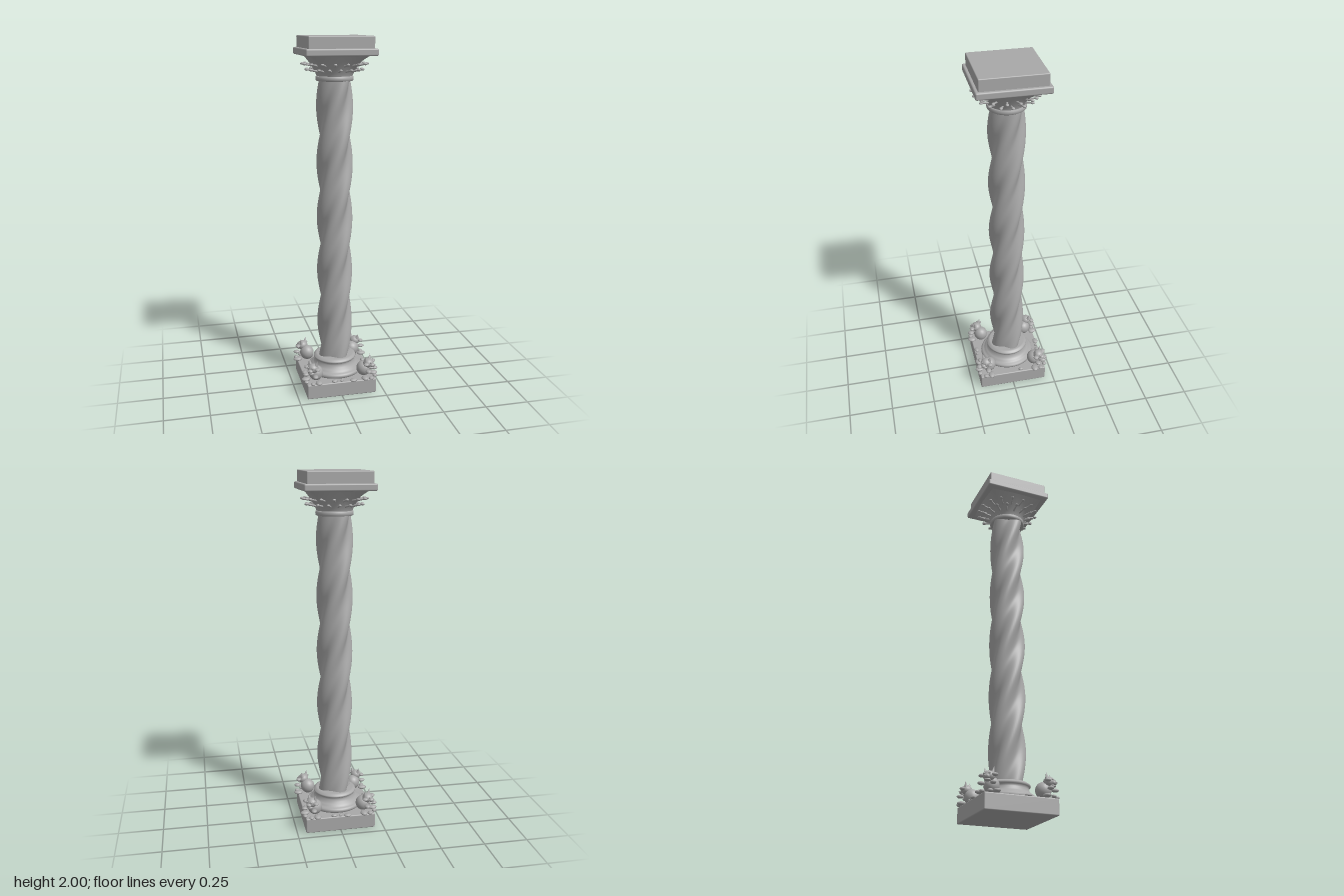
import * as THREE from 'three';
import { RoundedBoxGeometry } from 'three/addons/geometries/RoundedBoxGeometry.js';

const stone = new THREE.MeshStandardMaterial({ color: 0xa8a8a8 });
stone.name = 'grey stone';

function add(parent, name, geometry, x = 0, y = 0, z = 0) {
  const mesh = new THREE.Mesh(geometry, stone);
  mesh.name = name;
  mesh.position.set(x, y, z);
  parent.add(mesh);
  return mesh;
}

// Closed wall of stacked rings; radius(angle, t) with t running 0 to 1 upwards
function loft(y0, y1, rows, segs, radius) {
  const pos = [], idx = [];
  for (let j = 0; j <= rows; j++) {
    const t = j / rows, y = y0 + (y1 - y0) * t;
    for (let i = 0; i < segs; i++) {
      const a = (i / segs) * Math.PI * 2, r = radius(a, t, y);
      pos.push(Math.sin(a) * r, y, Math.cos(a) * r);
      if (j < rows) {
        const p = j * segs + i, q = j * segs + (i + 1) % segs;
        idx.push(p, q, q + segs, p, q + segs, p + segs);
      }
    }
  }
  const g = new THREE.BufferGeometry();
  g.setAttribute('position', new THREE.Float32BufferAttribute(pos, 3));
  g.setIndex(idx);
  g.computeVertexNormals();
  return g;
}

const lathe = (pts) =>
  new THREE.LatheGeometry(pts.map(([r, y]) => new THREE.Vector2(r, y)), 64);

// Irregular stone lump
function lump(parent, name, x, y, z, sx, sy, sz, turn = 0) {
  const m = add(parent, name, new THREE.IcosahedronGeometry(1, 1), x, y, z);
  m.scale.set(sx, sy, sz);
  m.rotation.y = turn;
  return m;
}

// Squat horned beast crouching on a plinth corner, facing local +z
function makeBeast() {
  const g = new THREE.Group();
  g.name = 'cornerBeast';
  const ball = (name, x, y, z, sx, sy = sx, sz = sx) => {
    const m = add(g, name, new THREE.SphereGeometry(1, 20, 14), x, y, z);
    m.scale.set(sx, sy, sz);
    return m;
  };
  ball('body', 0, 0.133, 0.198, 0.04, 0.043, 0.042);
  ball('head', 0, 0.173, 0.23, 0.031, 0.027, 0.03);
  ball('snout', 0, 0.165, 0.257, 0.016, 0.012, 0.014);
  ball('jaw', 0, 0.15, 0.248, 0.018, 0.008, 0.018);
  for (const s of [-1, 1]) {
    const ear = add(g, 'ear', new THREE.ConeGeometry(0.011, 0.034, 8), s * 0.022, 0.203, 0.225);
    ear.rotation.z = -s * 0.25;
    ball('eye', s * 0.014, 0.182, 0.253, 0.006);
    ball('nostril', s * 0.007, 0.168, 0.27, 0.003);
    lump(g, 'cheekTuft', s * 0.036, 0.176, 0.238, 0.017, 0.009, 0.015, s * 0.5);
    lump(g, 'frontPaw', s * 0.032, 0.135, 0.25, 0.016, 0.01, 0.02, s * 0.6);
    lump(g, 'hindPaw', s * 0.045, 0.096, 0.235, 0.02, 0.011, 0.026, s * 0.7);
    lump(g, 'toe', s * 0.022, 0.094, 0.262, 0.014, 0.009, 0.014, s * 0.3);
  }
  return g;
}

export function createModel() {
  const model = new THREE.Group();
  model.name = 'twistedColumn';

  // Plinth and turned base
  add(model, 'plinth', new RoundedBoxGeometry(0.4, 0.086, 0.4, 3, 0.006), 0, 0.043, 0);
  add(model, 'base', lathe([
    [0.15, 0.084], [0.157, 0.09], [0.16, 0.099], [0.157, 0.108], [0.148, 0.114],
    [0.138, 0.116], [0.138, 0.122], [0.127, 0.128], [0.119, 0.137], [0.114, 0.15],
    [0.113, 0.16], [0.119, 0.163], [0.123, 0.169], [0.121, 0.175], [0.112, 0.18],
    [0.105, 0.186], [0, 0.187],
  ]));

  // Four-lobed shaft twisting upwards
  add(model, 'shaft', loft(0.18, 1.78, 200, 64, (a, t, y) =>
    0.088 + 0.012 * Math.cos(4 * (a - Math.PI / 2) - ((y - 1.05) / 0.31) * Math.PI * 2)));

  // Collar and capital flaring from round to square
  add(model, 'collar', lathe([
    [0.07, 1.764], [0.097, 1.765], [0.102, 1.769], [0.103, 1.778],
    [0.102, 1.787], [0.098, 1.791], [0.08, 1.792],
  ]));
  const flare = (t) => 0.096 + 0.069 * Math.pow(t, 1.25);
  add(model, 'capital', loft(1.788, 1.902, 16, 64, (a, t) => {
    const h = flare(t);
    const square = h / Math.max(Math.abs(Math.sin(a)), Math.abs(Math.cos(a)));
    return THREE.MathUtils.lerp(h, square, t * t * 0.85);
  }));

  // Two rows of budded stems around the capital
  const buds = new THREE.Group();
  buds.name = 'capitalBuds';
  model.add(buds);
  for (const [y, r, shift] of [[1.82, 0.108, 0], [1.85, 0.13, 0.5]]) {
    for (let i = 0; i < 16; i++) {
      const bud = new THREE.Group();
      bud.name = 'bud';
      bud.rotation.y = ((i + shift) / 16) * Math.PI * 2;
      const stem = add(bud, 'stem', new THREE.CylinderGeometry(0.004, 0.006, 0.045, 8), 0, y, r + 0.018);
      stem.rotation.x = Math.PI / 2 - 0.2;
      const tip = add(bud, 'tip', new THREE.SphereGeometry(0.009, 10, 8), 0, y + 0.005, r + 0.043);
      tip.scale.set(1, 0.75, 1.3);
      buds.add(bud);
    }
  }

  // Square slab and top block
  add(model, 'abacus', new RoundedBoxGeometry(0.382, 0.038, 0.382, 3, 0.008), 0, 1.918, 0);
  add(model, 'topBlock', new RoundedBoxGeometry(0.35, 0.07, 0.35, 3, 0.005), 0, 1.965, 0);

  // Beasts on the four corners
  for (let k = 0; k < 4; k++) {
    const beast = makeBeast();
    beast.rotation.y = Math.PI / 4 + (k * Math.PI) / 2;
    model.add(beast);
  }

  // Loose chips along the plinth edges
  const chips = [[-0.04, -0.195, 0.022], [0.036, -0.187, 0.018], [0.068, 0.194, 0.023],
    [-0.04, 0.184, 0.018], [-0.188, 0.037, 0.02], [0, 0.188, 0.01], [0, -0.19, 0.01], [0.182, -0.05, 0.015]];
  chips.forEach(([x, z, s], i) =>
    lump(model, 'stoneChip', x, 0.09, z, s, 0.009, s * 0.75, Math.abs(x) > 0.15 ? 1.5 : 0.15 * i));

  return model;
}
